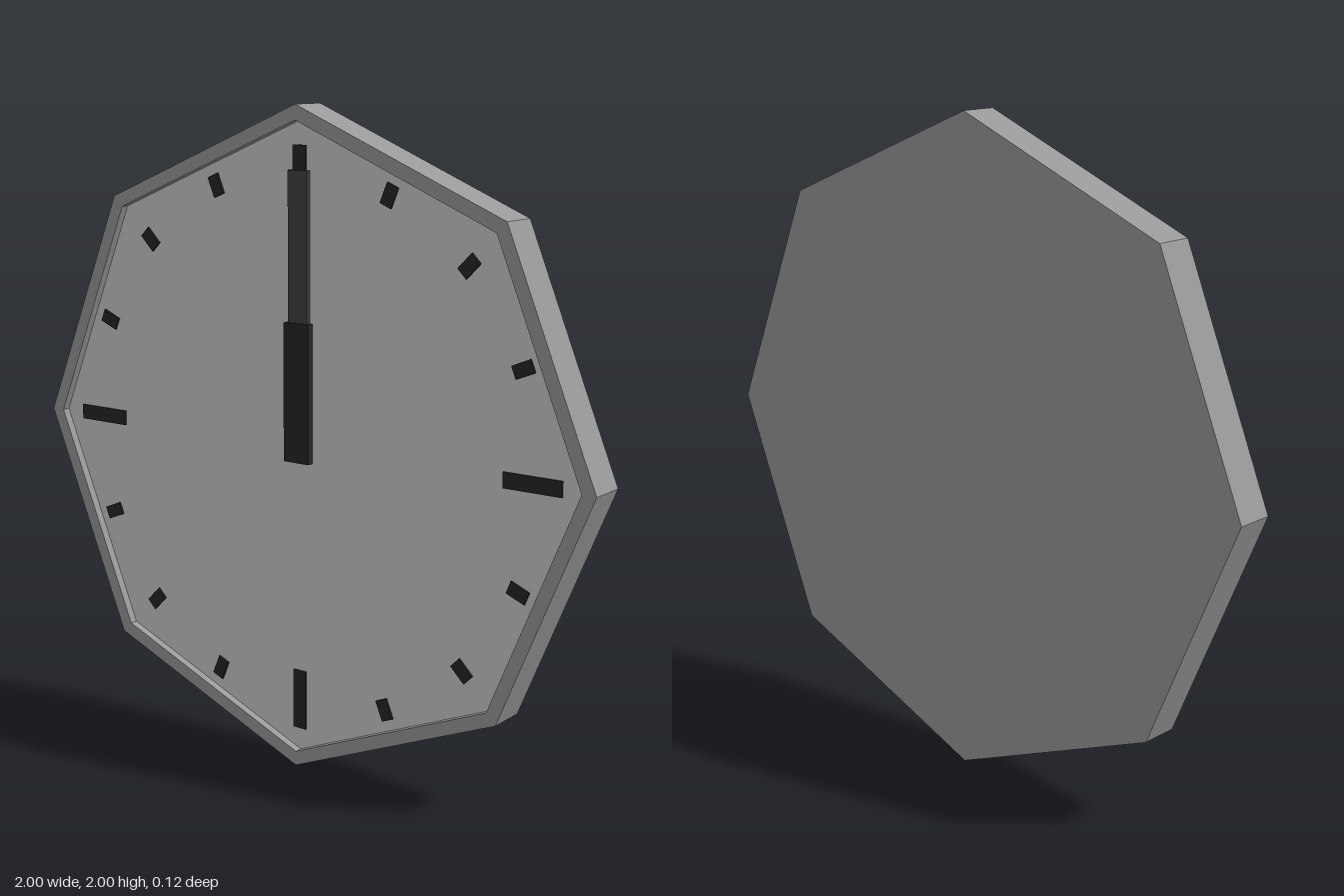
import * as THREE from 'three';

const material = (color) => new THREE.MeshStandardMaterial({ color, flatShading: true });

// Octagon with a corner at the top
function octagon(radius, PathType = THREE.Shape) {
  const points = [];
  for (let i = 0; i < 8; i++) {
    const a = (i * Math.PI) / 4;
    points.push(new THREE.Vector2(radius * Math.cos(a), radius * Math.sin(a)));
  }
  return new PathType(points);
}

function plate(name, shape, zBack, zFront, mat) {
  const geometry = new THREE.ExtrudeGeometry(shape, { depth: zFront - zBack, bevelEnabled: false });
  const mesh = new THREE.Mesh(geometry, mat);
  mesh.name = name;
  mesh.position.z = zBack;
  return mesh;
}

// Bar lying on the dial, running outward from radius r0 to r1
function bar(name, r0, r1, width, zBack, zFront, mat, angle = 0) {
  const geometry = new THREE.BoxGeometry(width, r1 - r0, zFront - zBack);
  geometry.translate(0, (r0 + r1) / 2, (zBack + zFront) / 2);
  const mesh = new THREE.Mesh(geometry, mat);
  mesh.name = name;
  mesh.rotation.z = -angle;
  return mesh;
}

export function createModel() {
  const model = new THREE.Group();
  model.name = 'wallClock';
  const clock = new THREE.Group();
  clock.name = 'clock';
  clock.position.y = 1;
  model.add(clock);

  const frameMat = material(0x999999);
  const dialMat = material(0xcccccc);
  const darkMat = material(0x252525);
  const minuteMat = material(0x404040);
  const dialZ = 0.035;

  // Frame: solid back and raised rim
  const rim = octagon(1);
  rim.holes.push(octagon(0.955, THREE.Path));
  clock.add(plate('rim', rim, 0, 0.06, frameMat));
  clock.add(plate('back', octagon(1), -0.06, 0, frameMat));

  // Recessed dial
  clock.add(plate('dial', octagon(0.955), 0, dialZ, dialMat));

  // Hour marks: long at the quarters, three short ones between
  for (let i = 0; i < 16; i++) {
    const angle = (i * Math.PI) / 8;
    const mark = i % 4 === 0
      ? bar('quarterMark', 0.7, 0.885, 0.046, dialZ - 0.01, dialZ + 0.006, darkMat, angle)
      : bar('smallMark', 0.786, 0.85, 0.04, dialZ - 0.01, dialZ + 0.006, darkMat, angle);
    clock.add(mark);
  }

  // Hands
  clock.add(bar('minuteHand', -0.03, 0.813, 0.07, dialZ, 0.049, minuteMat));
  clock.add(bar('hourHand', -0.047, 0.37, 0.09, dialZ, 0.058, darkMat));

  return model;
}
